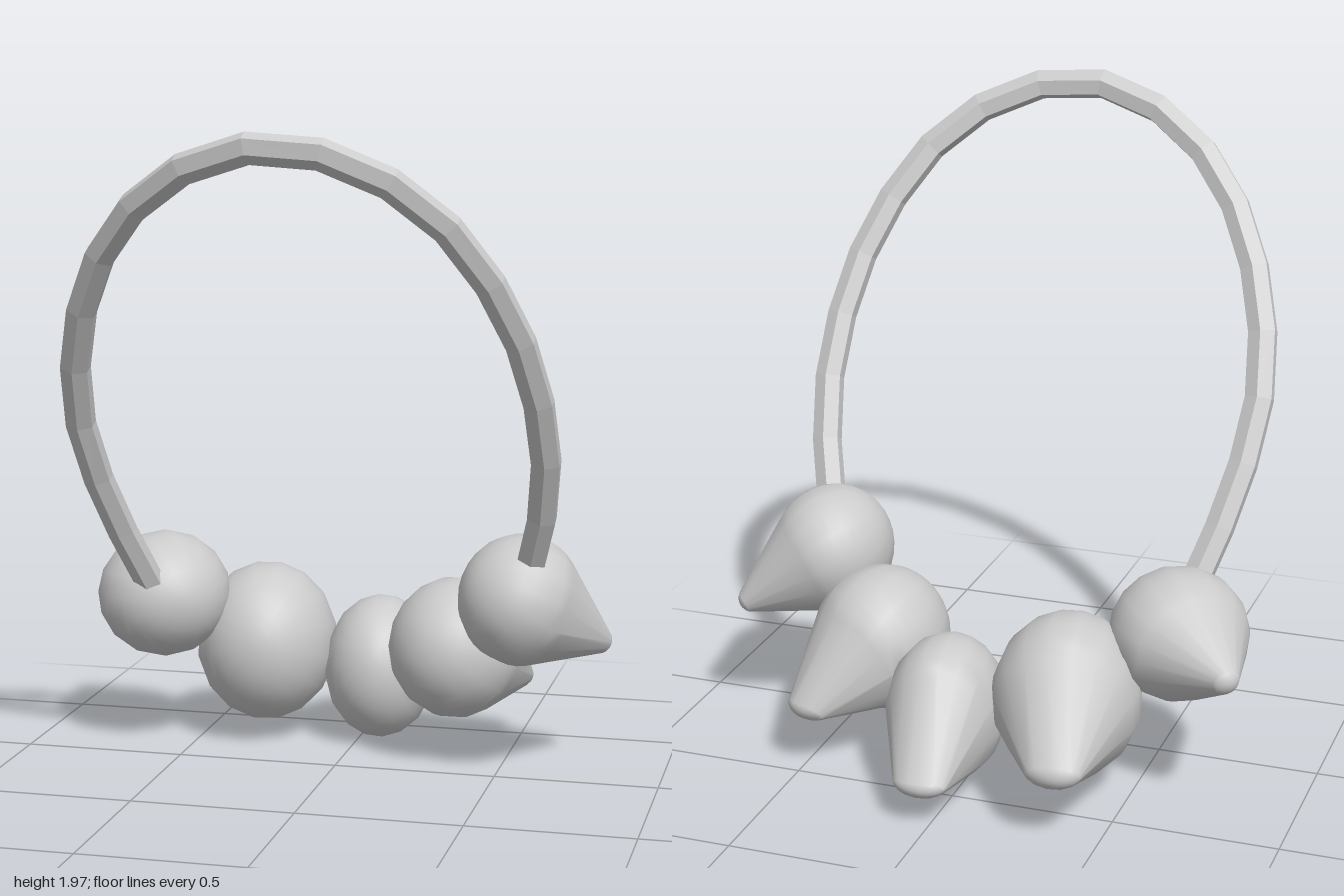
import * as THREE from 'three';
import { mergeVertices } from 'three/addons/utils/BufferGeometryUtils.js';

const V = (a) => new THREE.Vector3(...a);

// Farthest point of an ellipsoid (centre c, radii r) in direction d
function support(c, r, d) {
  const s = d.clone().multiply(r);
  return s.multiply(r).divideScalar(s.length() ? d.clone().multiply(r).length() : 1).add(c);
}

// Tooth-like bead: a sphere stretched over a round body and a small tip
function beadGeometry(body, bodyR, tip, tipR) {
  let geo = new THREE.SphereGeometry(1, 16, 18);
  geo.deleteAttribute('uv');
  geo.deleteAttribute('normal');
  geo = mergeVertices(geo);
  const axis = tip.clone().sub(body).normalize();
  const turn = new THREE.Quaternion().setFromUnitVectors(new THREE.Vector3(0, 1, 0), axis);
  const pos = geo.attributes.position;
  for (let i = 0; i < pos.count; i++) {
    const d = new THREE.Vector3().fromBufferAttribute(pos, i).applyQuaternion(turn);
    const a = support(body, bodyR, d), b = support(tip, tipR, d);
    const p = a.dot(d) > b.dot(d) ? a : b;
    pos.setXYZ(i, p.x, p.y, p.z);
  }
  geo.computeVertexNormals();
  return geo;
}

export function createModel() {
  const group = new THREE.Group();
  const smooth = new THREE.MeshStandardMaterial({ color: 0xcccccc });
  const faceted = new THREE.MeshStandardMaterial({ color: 0xcccccc, flatShading: true, side: THREE.DoubleSide });

  // Open cord loop, drawn flat and then leaned forward
  const lean = Math.atan(0.5), base = 0.7;
  const path = [
    [-0.59, 0.56], [-0.655, 0.76], [-0.715, 1.08], [-0.665, 1.4], [-0.5, 1.7], [-0.27, 1.88], [-0.01, 1.945],
    [0.25, 1.88], [0.47, 1.71], [0.635, 1.4], [0.685, 1.08], [0.66, 0.85], [0.61, 0.67],
  ].map(([x, y]) => new THREE.Vector3(x, (y - base) / Math.cos(lean), 0));
  const cordGeo = new THREE.TubeGeometry(new THREE.CatmullRomCurve3(path), 18, 0.048, 6);
  cordGeo.scale(1, 1, 0.8);
  const cord = new THREE.Mesh(cordGeo, faceted);
  cord.name = 'cord';
  cord.rotation.x = lean;
  cord.position.set(0, base, 0.075);
  group.add(cord);

  // Beads from the right side to the left: body centre, body radii, tip centre, tip radii
  const beads = [
    [[-0.6, 0.49, -0.17], [0.21, 0.2, 0.22], [-0.785, 0.47, -0.39], [0.055, 0.05, 0.05]],
    [[-0.305, 0.315, -0.33], [0.225, 0.255, 0.25], [-0.37, 0.24, -0.67], [0.09, 0.055, 0.06]],
    [[0.06, 0.24, -0.38], [0.18, 0.23, 0.22], [0.03, 0.14, -0.68], [0.085, 0.045, 0.06]],
    [[0.34, 0.36, -0.2], [0.21, 0.22, 0.23], [0.465, 0.22, -0.45], [0.08, 0.05, 0.06]],
    [[0.57, 0.56, -0.03], [0.19, 0.2, 0.21], [0.785, 0.415, -0.18], [0.045, 0.045, 0.045]],
  ];
  beads.forEach((b, i) => {
    const bead = new THREE.Mesh(beadGeometry(...b.map(V)), smooth);
    bead.name = `toothBead${i + 1}`;
    group.add(bead);
  });
  return group;
}
